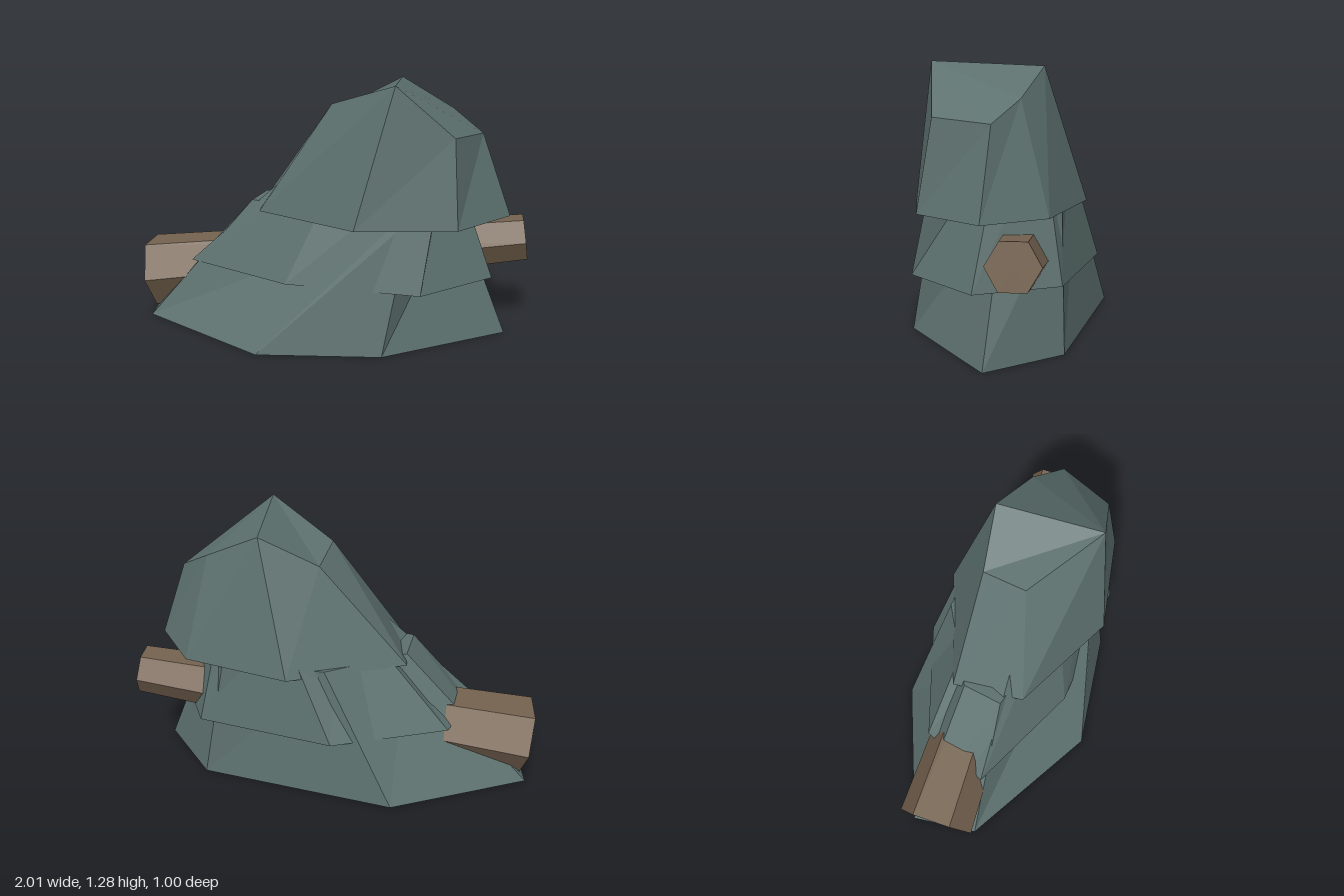
import * as THREE from 'three';

const foliage = new THREE.MeshStandardMaterial({ color: 0x5c706e, flatShading: true });
foliage.name = 'dull blue green';
const bark = new THREE.MeshStandardMaterial({ color: 0x766350, flatShading: true });
bark.name = 'brown wood';

// Seven-sided tapered tier between two rings of [x, y, z] corners
function tier(name, bottom, top) {
  const pos = [];
  const tri = (...corners) => corners.forEach((c) => pos.push(...c));
  const n = bottom.length;
  for (let i = 0; i < n; i++) {
    const j = (i + 1) % n;
    tri(bottom[i], bottom[j], top[j]);
    tri(bottom[i], top[j], top[i]);
  }
  for (let i = 1; i < n - 1; i++) {
    tri(top[0], top[i], top[i + 1]);
    tri(bottom[0], bottom[i + 1], bottom[i]);
  }
  const geo = new THREE.BufferGeometry();
  geo.setAttribute('position', new THREE.Float32BufferAttribute(pos, 3));
  geo.computeVertexNormals();
  const mesh = new THREE.Mesh(geo, foliage);
  mesh.name = name;
  return mesh;
}

// Flat ring of [x, z] corners at height y
const ring = (y, pts) => pts.map(([x, z]) => [x, y, z]);

// Tapered six-sided log between two points
function log(a, b, ra, rb) {
  const dir = b.clone().sub(a);
  const geo = new THREE.CylinderGeometry(rb, ra, dir.length(), 6);
  geo.rotateZ(-Math.PI / 2); // axis along x, corners pointing to +z and -z
  const mesh = new THREE.Mesh(geo, bark);
  mesh.quaternion.setFromUnitVectors(new THREE.Vector3(1, 0, 0), dir.normalize());
  mesh.position.copy(a).add(b).multiplyScalar(0.5);
  mesh.name = 'trunk';
  return mesh;
}

export function createModel() {
  const group = new THREE.Group();
  group.name = 'fallenTree';

  // Rings run from the front corner, round the +x side and back to the -x side
  group.add(tier('lowerTier',
    ring(0, [[-0.22, 0.5], [0.37, 0.37], [0.91, -0.08], [0.62, -0.39], [-0.35, -0.5], [-0.99, -0.16], [-0.92, 0.17]]),
    ring(0.65, [[0.42, 0.24], [0.47, 0.235], [0.64, -0.12], [0.5, -0.36], [0.0, -0.37], [-0.36, -0.12], [-0.37, 0.08]])));

  group.add(tier('middleTier',
    ring(0.31, [[-0.12, 0.335], [0.54, 0.325], [0.84, -0.02], [0.63, -0.38], [-0.05, -0.48], [-0.59, -0.24], [-0.7, 0.115]]),
    ring(0.95, [[0.15, 0.15], [0.61, 0.17], [0.59, -0.1], [0.5, -0.27], [0.25, -0.33], [-0.03, -0.17], [-0.01, 0.05]])));

  group.add(tier('upperTier',
    ring(0.62, [[0.23, 0.385], [0.695, 0.255], [0.91, -0.07], [0.7, -0.33], [0.17, -0.44], [-0.37, -0.18], [-0.3, 0.17]]),
    [[0.39, 1.28, 0.26], [0.66, 1.04, 0.19], [0.76, 1.02, -0.09], [0.6, 1.12, -0.19],
      [0.33, 1.257, -0.255], [0.055, 1.11, -0.195], [0.035, 1.15, 0.03]]));

  group.add(log(new THREE.Vector3(-0.972, 0.185, -0.02), new THREE.Vector3(0.982, 0.473, -0.222), 0.195, 0.118));
  return group;
}
